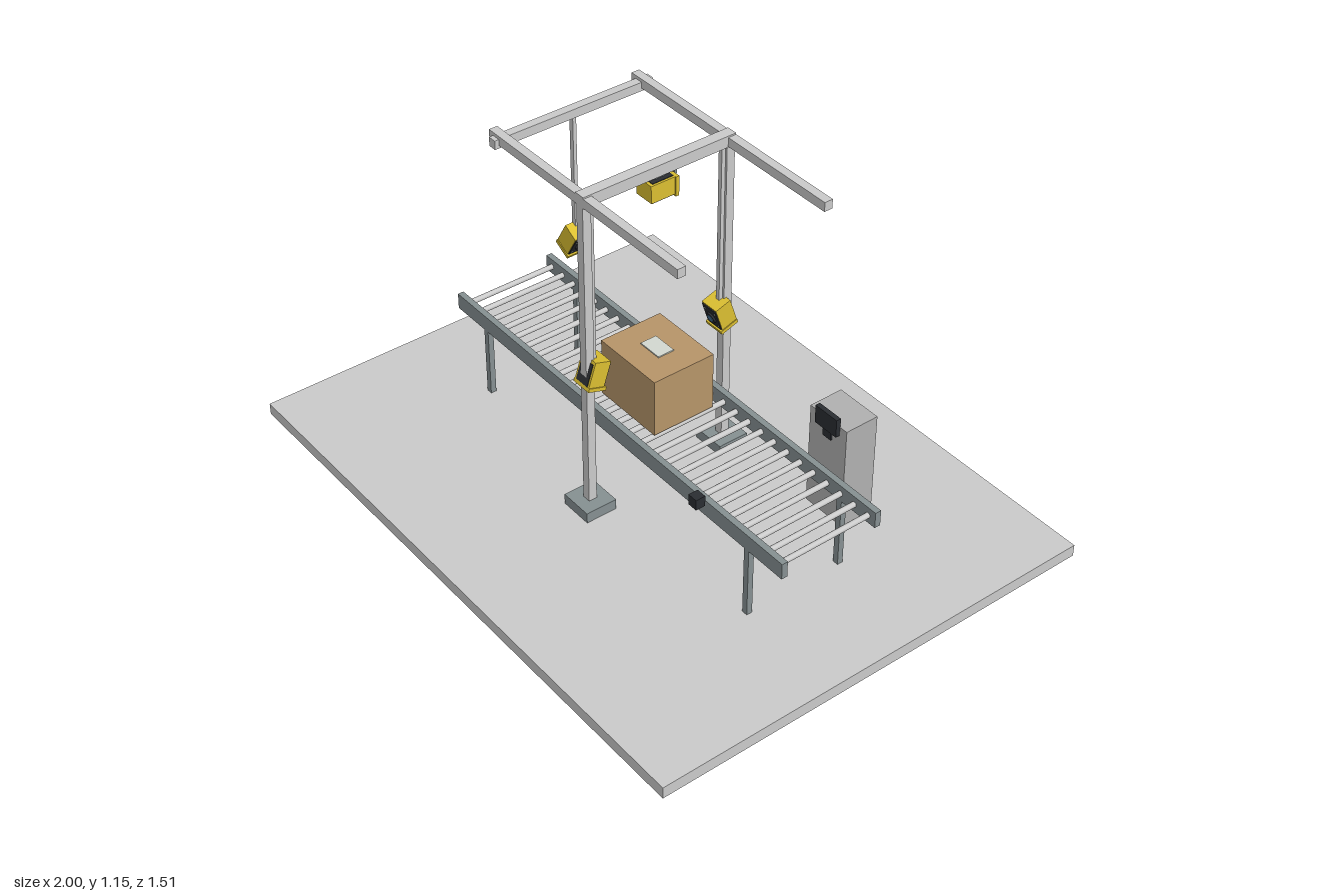
import * as THREE from 'three';

const mat = (color) => new THREE.MeshStandardMaterial({ color });
const GREY = mat(0xcccccc), STEEL = mat(0x879193), FRAME = mat(0xbcbfbe), CABINET = mat(0xb2b2b2);
const YELLOW = mat(0xdcc032), DARK = mat(0x2b2e33), BLUE = mat(0x4f7fa8);
const CARDBOARD = mat(0xb8966a), LABEL = mat(0xd4dad2);

// Box given by its extents on each axis
function block(parent, name, material, [x0, x1], [y0, y1], [z0, z1]) {
  const mesh = new THREE.Mesh(new THREE.BoxGeometry(x1 - x0, y1 - y0, z1 - z0), material);
  mesh.position.set((x0 + x1) / 2, (y0 + y1) / 2, (z0 + z1) / 2);
  mesh.name = name;
  parent.add(mesh);
  return mesh;
}

// Cylinder along z
function disc(parent, name, material, radius, length, x, y, z, sides = 20) {
  const mesh = new THREE.Mesh(new THREE.CylinderGeometry(radius, radius, length, sides).rotateX(Math.PI / 2), material);
  mesh.position.set(x, y, z);
  mesh.name = name;
  parent.add(mesh);
  return mesh;
}

// Scanner head looking along its own +z
function createScanner(name) {
  const g = new THREE.Group();
  g.name = name;
  block(g, 'scannerShell', YELLOW, [-0.033, 0.033], [-0.046, 0.046], [-0.03, 0.026]);
  block(g, 'scannerLip', YELLOW, [-0.036, 0.036], [-0.049, -0.037], [-0.03, 0.034]);
  block(g, 'scannerFace', DARK, [-0.031, 0.031], [-0.036, 0.041], [0.02, 0.029]);
  block(g, 'scannerBackPanel', DARK, [-0.026, 0.026], [-0.036, 0.036], [-0.032, -0.02]);
  disc(g, 'lensBarrel', DARK, 0.019, 0.008, 0, 0, 0.031);
  disc(g, 'lensGlass', BLUE, 0.012, 0.004, 0, 0, 0.034);
  for (const x of [-1, 1]) {
    for (const y of [-1, 1]) disc(g, 'lightDot', STEEL, 0.004, 0.004, x * 0.022, y * 0.026, 0.029, 10);
  }
  return g;
}

export function createModel() {
  const model = new THREE.Group();
  model.name = 'scanningStation';
  block(model, 'floorSlab', GREY, [-1, 1], [0, 0.04], [-0.757, 0.757]);

  // Roller conveyor
  const conveyor = new THREE.Group();
  conveyor.name = 'conveyor';
  model.add(conveyor);
  for (const s of [-1, 1]) {
    const z = s * 0.169;
    block(conveyor, 'sideRail', STEEL, [-0.78, 0.78], [0.28, 0.334], [z - 0.01, z + 0.01]);
    for (const x of [-0.63, 0.63]) {
      block(conveyor, 'conveyorLeg', STEEL, [x - 0.01, x + 0.01], [0.04, 0.285], [z - 0.0095, z + 0.0095]);
    }
  }
  const rollers = 27;
  for (let i = 0; i < rollers; i++) {
    disc(conveyor, 'roller', FRAME, 0.009, 0.32, -0.75 + (1.5 * i) / (rollers - 1), 0.307, 0, 14);
  }

  // Parcel
  const parcel = new THREE.Group();
  parcel.name = 'parcel';
  model.add(parcel);
  block(parcel, 'carton', CARDBOARD, [-0.126, 0.126], [0.32, 0.514], [-0.108, 0.108]);
  block(parcel, 'cartonLabel', LABEL, [-0.042, 0.042], [0.513, 0.518], [-0.028, 0.028]);

  // Gantry
  const gantry = new THREE.Group();
  gantry.name = 'gantry';
  model.add(gantry);
  for (const s of [-1, 1]) {
    const z = s * 0.25;
    block(gantry, 'postFoot', STEEL, [-0.056, 0.056], [0.04, 0.075], [z - 0.053, z + 0.053]);
    block(gantry, 'post', FRAME, [-0.014, 0.014], [0.07, 1.15], [z - 0.014, z + 0.014]);
    block(gantry, 'longBeam', FRAME, [-0.425, 0.425], [1.117, 1.147], [z - 0.014, z + 0.014]);
    // Hanger for the side scanner, on the inner side of the post
    const hz = s * 0.23;
    block(gantry, 'sideHanger', FRAME, [-0.007, 0.007], [0.56, 1.12], [hz - 0.007, hz + 0.007]);
  }
  block(gantry, 'middleBeam', FRAME, [-0.018, 0.018], [1.115, 1.152], [-0.264, 0.264]);
  block(gantry, 'endBeam', FRAME, [-0.405, -0.377], [1.108, 1.137], [-0.278, 0.278]);
  block(gantry, 'endHanger', FRAME, [-0.4, -0.384], [0.7, 1.115], [-0.006, 0.006]);
  block(gantry, 'topBracket', STEEL, [-0.012, 0.012], [1.1, 1.12], [-0.015, 0.015]);
  block(gantry, 'topBracketTab', STEEL, [-0.008, 0.008], [1.075, 1.118], [-0.062, -0.054]);

  // Scanners: overhead, end and both sides
  const top = createScanner('overheadScanner');
  top.rotation.x = Math.PI / 2;
  top.position.set(0, 1.076, 0);
  const end = createScanner('endScanner');
  end.rotation.set(Math.PI / 6, Math.PI / 2, 0, 'YXZ');
  end.position.set(-0.394, 0.685, 0);
  model.add(top, end);
  for (const s of [-1, 1]) {
    const side = createScanner('sideScanner');
    side.rotation.set(0.32, s > 0 ? Math.PI : 0, 0, 'YXZ');
    side.position.set(0, 0.539, s * 0.23);
    model.add(side);
  }

  // Control cabinet with its screen, and the trigger sensors
  block(model, 'cabinet', CABINET, [0.42, 0.575], [0.104, 0.456], [-0.341, -0.226]);
  block(model, 'cabinetScreen', DARK, [0.456, 0.546], [0.425, 0.486], [-0.228, -0.212]);
  for (const z of [-0.25, 0.25]) {
    block(model, 'triggerSensor', DARK, [0.482, 0.516], [0.391, 0.426], [z - 0.016, z + (z < 0 ? 0.03 : 0.016)]);
  }
  return model;
}
